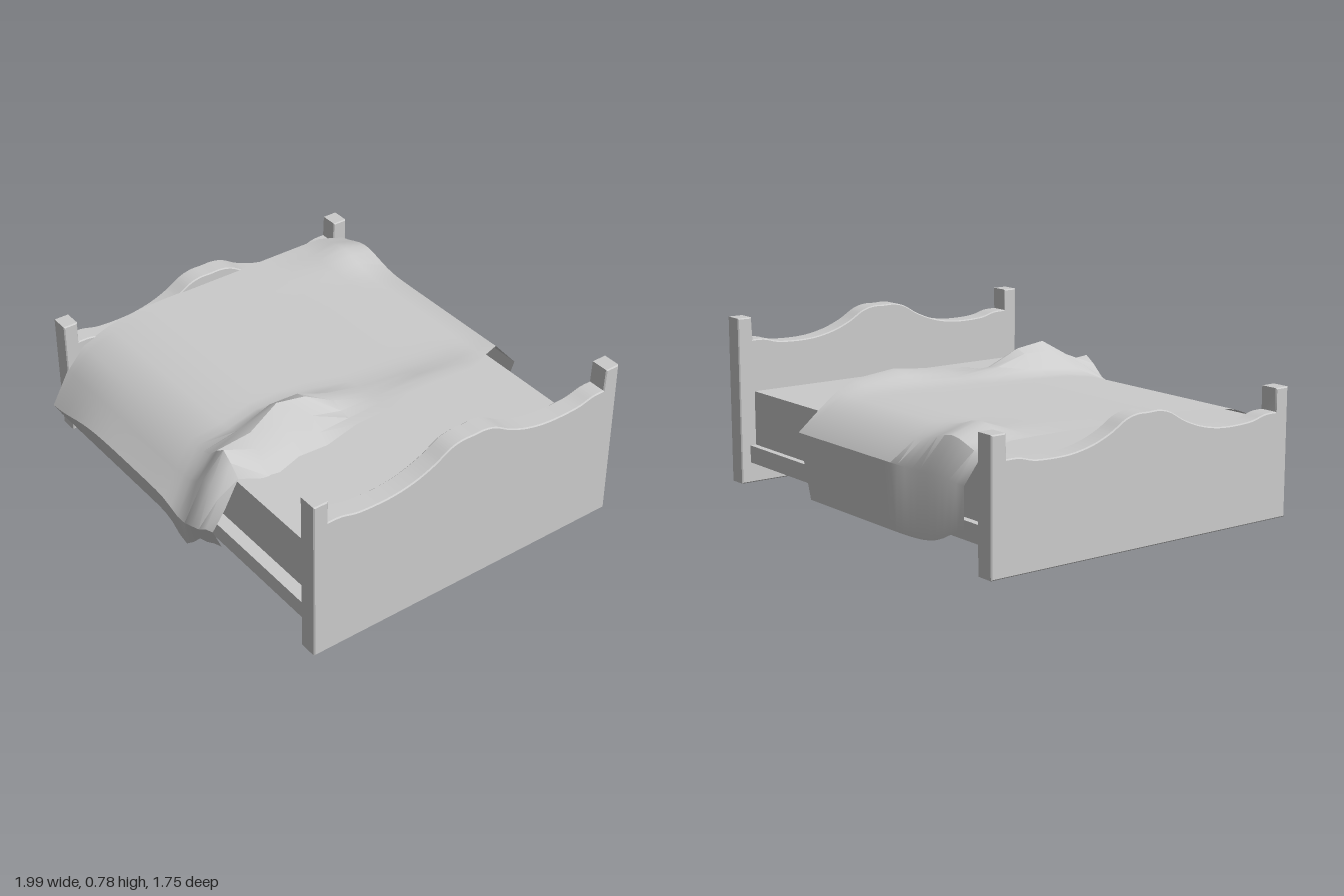
import * as THREE from 'three';
import { toCreasedNormals } from 'three/addons/utils/BufferGeometryUtils.js';

const material = new THREE.MeshStandardMaterial({ color: 0xcccccc });
const clothMaterial = new THREE.MeshStandardMaterial({ color: 0xcccccc, side: THREE.DoubleSide });

function add(group, name, geometry, mat = material) {
  const mesh = new THREE.Mesh(geometry, mat);
  mesh.name = name;
  group.add(mesh);
  return mesh;
}

// Box given by its lower and upper corners
function slab(x0, x1, y0, y1, z0, z1) {
  return new THREE.BoxGeometry(x1 - x0, y1 - y0, z1 - z0)
    .translate((x0 + x1) / 2, (y0 + y1) / 2, (z0 + z1) / 2);
}

// End board: two square posts joined by a scalloped panel, extruded along x
function endBoard(xCentre, bottom, top) {
  const half = 0.795, post = 0.725, depth = 0.09, bevel = 0.005;
  // distance of the panel's top edge below the post tops
  const wave = [[-0.725, 0.108], [-0.66, 0.11], [-0.57, 0.13], [-0.42, 0.132], [-0.3, 0.112],
    [-0.2, 0.075], [-0.12, 0.03], [-0.06, 0.014], [0, 0.014]];
  const points = [...wave, ...wave.slice(0, -1).reverse().map(([z, d]) => [-z, d])]
    .map(([z, d]) => new THREE.Vector2(z, top - d));
  const s = new THREE.Shape();
  s.moveTo(-half + bevel, bottom + bevel);
  s.lineTo(half - bevel, bottom + bevel);
  s.lineTo(half - bevel, top - bevel);
  s.lineTo(post + bevel, top - bevel);
  s.lineTo(post + bevel, points[0].y - bevel);
  s.splineThru(points.reverse());
  s.lineTo(-post - bevel, top - bevel);
  s.lineTo(-half + bevel, top - bevel);
  const g = new THREE.ExtrudeGeometry(s, {
    depth: depth - 2 * bevel, curveSegments: 32,
    bevelEnabled: true, bevelSize: bevel, bevelThickness: bevel, bevelSegments: 1,
  });
  g.translate(0, 0, -depth / 2 + bevel).rotateY(-Math.PI / 2).translate(xCentre, 0, -0.013);
  return toCreasedNormals(g, 0.5);
}

// Rumpled cover: one cross-section swept along the bed, with an uneven head edge and folds
function blanket() {
  // each row: z, y and the x of the head-side edge
  const rows = [[-0.875, 0.09, 0.2], [-0.875, 0.37, 0.29], [-0.79, 0.47, 0.25], [-0.65, 0.51, 0.33],
    [-0.53, 0.52, 0.4], [-0.3, 0.52, 0.41], [-0.05, 0.52, 0.41], [0.12, 0.52, 0.4], [0.26, 0.52, 0.38],
    [0.4, 0.515, 0.37], [0.55, 0.49, 0.39], [0.69, 0.44, 0.34], [0.78, 0.34, 0.37],
    [0.87, 0.25, 0.41], [0.83, 0.11, 0.41]];
  // each fold: centre x, centre z, width x, width z, height
  const folds = [[0.2, 0.36, 0.07, 0.22, 0.14], [0.24, 0.72, 0.08, 0.14, 0.1],
    [0.38, -0.3, 0.12, 0.28, 0.05], [-0.72, -0.72, 0.14, 0.1, 0.09], [0.4, 0.85, 0.08, 0.06, 0.07]];
  const bell = (d, w) => Math.exp(-((d / w) ** 2));
  const columns = 24, start = -0.91;
  const position = [], index = [];
  rows.forEach(([z, y, edge], r) => {
    for (let c = 0; c <= columns; c++) {
      const x = start + (edge - start) * c / columns;
      let h = y;
      for (const [fx, fz, wx, wz, a] of folds) h += a * bell(x - fx, wx) * bell(z - fz, wz);
      // hems sag towards one corner and rise at the foot and head
      if (r === rows.length - 1) h += -0.08 * bell(x - 0.14, 0.1) + 0.04 * bell(x - 0.42, 0.12);
      if (r === rows.length - 2) h += -0.07 * bell(x + 0.92, 0.25) - 0.06 * bell(x - 0.2, 0.12);
      if (r === 0) h += 0.1 * bell(x + 0.92, 0.15);
      // the turned-down part of the cover falls to the mattress
      if (r > 7 && r < 11) h -= 0.06 * bell(x - 0.4, 0.08);
      position.push(x, h, z);
    }
  });
  const n = columns + 1;
  for (let r = 0; r < rows.length - 1; r++) {
    for (let c = 0; c < columns; c++) {
      const a = r * n + c;
      index.push(a, a + n, a + 1, a + 1, a + n, a + n + 1);
    }
  }
  const g = new THREE.BufferGeometry();
  g.setAttribute('position', new THREE.Float32BufferAttribute(position, 3));
  g.setIndex(index);
  return toCreasedNormals(g, 0.7);
}

export function createModel() {
  const bed = new THREE.Group();
  bed.name = 'bed';
  add(bed, 'headboard', endBoard(0.95, 0.01, 0.78));
  add(bed, 'footboard', endBoard(-0.95, 0, 0.575));
  add(bed, 'bedBase', slab(-0.905, 0.89, 0.11, 0.19, -0.77, 0.75));
  add(bed, 'mattress', slab(-0.905, 0.89, 0.19, 0.44, -0.74, 0.69));
  add(bed, 'blanket', blanket(), clothMaterial);
  return bed;
}
